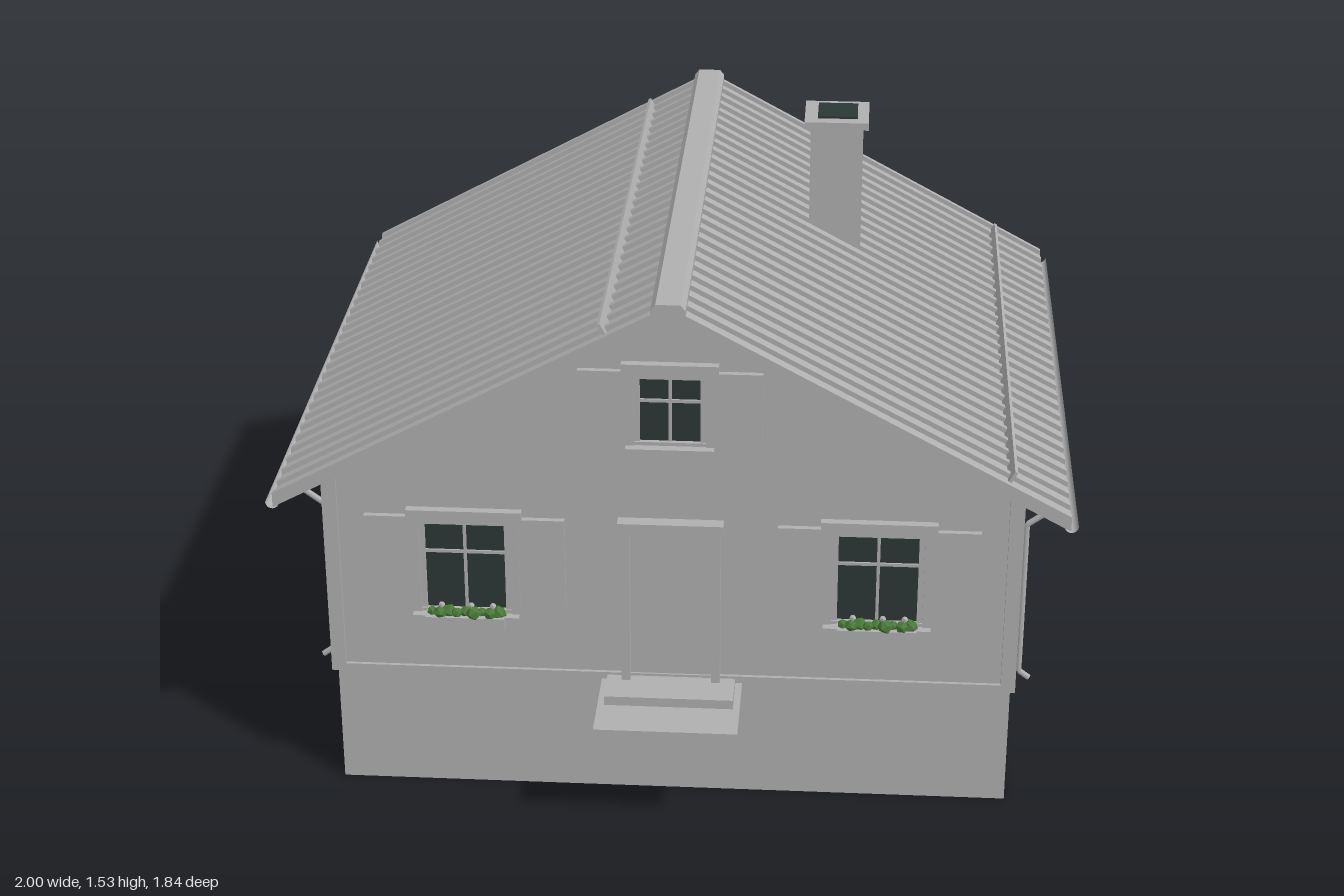
import * as THREE from 'three';

const mat = (name, color, side = THREE.FrontSide) => {
  const m = new THREE.MeshStandardMaterial({ color, side });
  m.name = name;
  return m;
};

export function createModel() {
  const house = new THREE.Group();
  house.name = 'house';
  const grey = mat('plain grey', 0xb0b0b0);
  const open = mat('plain grey sheet', 0xb0b0b0, THREE.DoubleSide);
  const dark = mat('dark glass', 0x2c3836);
  const green = mat('leaf green', 0x4a7a38);

  const add = (parent, name, geo, m = grey) => {
    const mesh = new THREE.Mesh(geo, m);
    mesh.name = name;
    parent.add(mesh);
    return mesh;
  };
  // box given by its min and max on each axis
  const box = (parent, name, x0, x1, y0, y1, z0, z1, m = grey) => {
    const b = add(parent, name, new THREE.BoxGeometry(x1 - x0, y1 - y0, z1 - z0), m);
    b.position.set((x0 + x1) / 2, (y0 + y1) / 2, (z0 + z1) / 2);
    return b;
  };
  // x-y outline extruded between two z values
  const prism = (parent, name, pts, z0, z1, m = grey) => {
    const s = new THREE.Shape(pts.map(p => new THREE.Vector2(p[0], p[1])));
    const g = new THREE.ExtrudeGeometry(s, { depth: z1 - z0, bevelEnabled: false });
    const mesh = add(parent, name, g, m);
    mesh.position.z = z0;
    return mesh;
  };

  const SLOPE = 0.54, EAVE = 0.982, BACK = -0.92, FRONT = 0.77;
  const under = x => 1.375 - SLOPE * Math.abs(x);

  // foundation and walls
  box(house, 'foundation', -0.863, 0.863, 0, 0.335, -0.82, 0.672);
  prism(house, 'walls', [[-0.862, 0.335], [0.862, 0.335], [0.862, under(0.862)], [0, 1.375],
    [-0.862, under(0.862)]], -0.815, 0.688);

  // gable faces, base boards and corner boards
  for (const [z0, z1] of [[0.688, 0.697], [-0.825, -0.815]]) {
    prism(house, 'gable', [[-0.837, 0.93], [0.837, 0.93], [0, 1.382]], z0, z1);
    box(house, 'baseBoard', -0.837, 0.837, 0.338, 0.357, z0, z1);
  }
  for (const s of [-1, 1]) {
    const a = Math.min(s * 0.837, s * 0.874), b = Math.max(s * 0.837, s * 0.874);
    box(house, 'cornerBoard', a, b, 0.338, under(0.874) + 0.01, 0.657, 0.7);
    box(house, 'cornerBoard', a, b, 0.338, under(0.874) + 0.01, -0.827, -0.79);
    box(house, 'sideBaseBoard', Math.min(s * 0.85, s * 0.872), Math.max(s * 0.85, s * 0.872),
      0.338, 0.355, -0.79, 0.657);
  }

  // roof sheet with standing ribs
  const chevron = (name, top, bottom, z0, z1) => prism(house, name, [
    [0, bottom], [EAVE, bottom - SLOPE * EAVE], [EAVE, top - SLOPE * EAVE], [0, top],
    [-EAVE, top - SLOPE * EAVE], [-EAVE, bottom - SLOPE * EAVE]], z0, z1);
  chevron('roof', 1.4, 1.375, BACK, FRONT);
  const ribs = 27, ribWidth = 0.016;
  for (let i = 0; i <= ribs; i++) {
    const z = BACK + (FRONT - BACK - ribWidth) * i / ribs;
    chevron('roofRib', 1.414, 1.39, z, z + ribWidth);
  }
  prism(house, 'ridgeCap', [[-0.042, 1.385], [0.042, 1.385], [0.042, 1.405], [0.03, 1.419],
    [-0.03, 1.419], [-0.042, 1.405]], BACK - 0.002, FRONT + 0.002);

  // snow guards standing square to the roof
  for (const x of [0.837, -0.163]) {
    const s = Math.sign(x);
    const g = add(house, 'snowGuard', new THREE.BoxGeometry(0.008, 0.034, 1.6));
    g.position.set(x, 1.418 - SLOPE * Math.abs(x), -0.07);
    g.rotation.z = -s * Math.atan(SLOPE);
  }

  // gutters and downpipes
  for (const s of [-1, 1]) {
    const gutter = add(house, 'gutter', new THREE.CylinderGeometry(0.017, 0.017, FRONT - BACK, 12, 1,
      true, -Math.PI / 2, Math.PI), open);
    gutter.rotation.x = Math.PI / 2;
    gutter.position.set(s * 0.983, 0.858, (FRONT + BACK) / 2);
    for (const z of [0.61, -0.755]) {
      const pts = [[0.983, 0.848], [0.885, 0.775], [0.885, 0.352], [0.912, 0.332]]
        .map(p => new THREE.Vector3(s * p[0], p[1], z));
      const path = new THREE.CurvePath();
      for (let i = 0; i < 3; i++) path.add(new THREE.LineCurve3(pts[i], pts[i + 1]));
      add(house, 'downpipe', new THREE.TubeGeometry(path, 60, 0.008, 8, false), open);
    }
  }

  // chimney
  box(house, 'chimney', 0.31, 0.45, 1.1, 1.507, -0.365, -0.222);
  box(house, 'chimneyCap', 0.293, 0.464, 1.505, 1.525, -0.38, -0.21);
  box(house, 'flue', 0.328, 0.434, 1.524, 1.531, -0.35, -0.243, dark);

  // shuttered window facing +z, with its wall plane at z = 0
  const makeWindow = (hw, y0, y1, bar) => {
    const w = new THREE.Group();
    w.name = 'window';
    box(w, 'glass', -hw, hw, y0, y1, -0.002, 0.004, dark);
    box(w, 'glazingBar', -0.004, 0.004, y0, y1, 0, 0.009);
    box(w, 'glazingBar', -hw, hw, bar - 0.004, bar + 0.004, 0, 0.009);
    box(w, 'topRail', -hw - 0.02, hw + 0.02, y1, y1 + 0.015, 0, 0.016);
    box(w, 'bottomRail', -hw - 0.02, hw + 0.02, y0 - 0.008, y0 + 0.004, 0, 0.016);
    box(w, 'lintel', -hw - 0.045, hw + 0.045, y1 + 0.012, y1 + 0.04, 0, 0.022);
    box(w, 'sill', -hw - 0.035, hw + 0.035, y0 - 0.016, y0 - 0.005, 0, 0.04);
    for (const s of [-1, 1]) {
      const strip = (name, a, b, lo, hi, d) =>
        box(w, name, Math.min(s * a, s * b), Math.max(s * a, s * b), lo, hi, 0, d);
      strip('sash', hw, hw + 0.014, y0, y1, 0.012);
      strip('jamb', hw + 0.014, hw + 0.037, y0 - 0.01, y1 + 0.013, 0.02);
      strip('shutter', hw + 0.035, hw + 0.152, y0 - 0.003, y1 + 0.018, 0.015);
    }
    house.add(w);
    return w;
  };

  // planter with small plants
  const addPlanter = w => {
    box(w, 'flowerBox', -0.1, 0.1, 0.488, 0.53, 0.015, 0.057);
    for (let i = 0; i < 9; i++) {
      const leaf = add(w, 'plant', new THREE.IcosahedronGeometry(0.014 + 0.003 * (i % 3), 0), green);
      leaf.position.set(-0.085 + 0.0212 * i, 0.535 + 0.004 * (i % 2), 0.033 + 0.012 * (i % 2));
      leaf.rotation.set(i, i * 2, 0);
    }
    for (const x of [-0.06, 0.015, 0.07]) {
      const f = add(w, 'blossom', new THREE.IcosahedronGeometry(0.009, 0));
      f.position.set(x, 0.556, 0.036);
    }
  };

  for (const s of [-1, 1]) {
    const front = makeWindow(0.1, 0.53, 0.775, 0.695);
    front.position.set(s * 0.518, 0, 0.688);
    addPlanter(front);
    for (const z of [0.293, -0.44]) {
      const side = makeWindow(0.103, 0.535, 0.772, 0.69);
      side.position.set(s * 0.862, 0, z);
      side.rotation.y = s * Math.PI / 2;
    }
  }
  makeWindow(0.074, 1.022, 1.196, 1.135).position.z = 0.697;

  // door and steps
  box(house, 'door', -0.103, 0.103, 0.345, 0.778, 0.68, 0.692);
  box(house, 'doorJamb', -0.125, -0.103, 0.345, 0.78, 0.68, 0.72);
  box(house, 'doorJamb', 0.103, 0.125, 0.345, 0.78, 0.68, 0.72);
  box(house, 'doorLintel', -0.132, 0.132, 0.777, 0.802, 0.68, 0.724);
  box(house, 'upperStep', -0.163, 0.163, 0.325, 0.35, 0.67, 0.803);
  box(house, 'lowerStep', -0.18, 0.18, 0.308, 0.325, 0.67, 0.92);

  return house;
}
